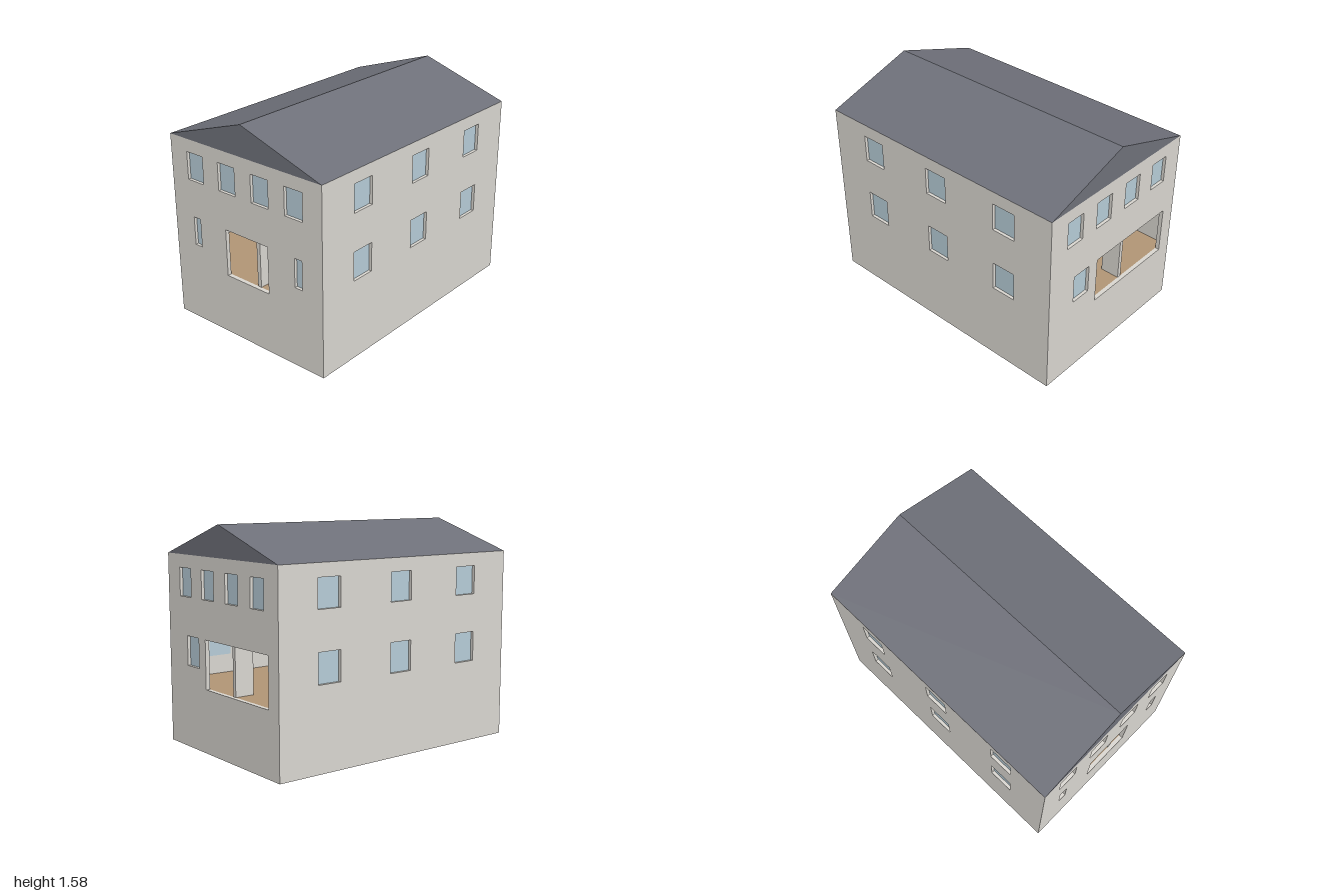
import * as THREE from 'three';

const W = 0.675, D = 1, T = 0.03;          // half width, half depth, wall thickness
const EAVES = 1.36, RIDGE = 1.58;
const FLOOR1 = 0.45, FLOOR2 = 0.93, SLAB = 0.025, DOOR = 0.315;

export function createModel() {
  const house = new THREE.Group();
  house.name = 'house';
  const mat = (name, color) => {
    const m = new THREE.MeshStandardMaterial({ color });
    m.name = name;
    return m;
  };
  const wallMat = mat('plaster', 0xd8d5cf);
  const roofMat = mat('slate', 0x6e7079);
  const glassMat = mat('glass', 0xb5cbd6);
  const floorMat = mat('wood', 0xb09474);

  const add = (name, geometry, material) => {
    const mesh = new THREE.Mesh(geometry, material);
    mesh.name = name;
    house.add(mesh);
    return mesh;
  };
  const box = (name, x0, x1, y0, y1, z0, z1, material) =>
    add(name, new THREE.BoxGeometry(x1 - x0, y1 - y0, z1 - z0), material)
      .position.set((x0 + x1) / 2, (y0 + y1) / 2, (z0 + z1) / 2);

  // Upright panel from a to b; holes are [a, b, bottom, top], door is [a, b] from the base.
  // alongZ panels run along z and take up at-T..at in x, the others at..at+T in z.
  function panel(name, alongZ, at, a, b, y0, y1, holes = [], door = null) {
    const s = new THREE.Shape();
    s.moveTo(a, y0);
    if (door) {
      s.lineTo(door[0], y0);
      s.lineTo(door[0], y0 + DOOR);
      s.lineTo(door[1], y0 + DOOR);
      s.lineTo(door[1], y0);
    }
    s.lineTo(b, y0);
    s.lineTo(b, y1);
    s.lineTo(a, y1);
    s.closePath();
    for (const [p, q, r, t] of holes) {
      const h = new THREE.Path();
      h.moveTo(p, r);
      h.lineTo(p, t);
      h.lineTo(q, t);
      h.lineTo(q, r);
      h.closePath();
      s.holes.push(h);
    }
    const mesh = add(name, new THREE.ExtrudeGeometry(s, { depth: T, bevelEnabled: false }), wallMat);
    if (alongZ) {
      mesh.rotation.y = -Math.PI / 2;
      mesh.position.x = at;
    } else mesh.position.z = at;
  }

  // Window layouts
  const low = [0.585, 0.795], high = [1.067, 1.267];
  const upperRow = [[-0.52, -0.37], [-0.225, -0.073], [0.073, 0.225], [0.365, 0.515]].map(r => [...r, ...high]);
  const frontWindows = [...upperRow, [-0.49, -0.427, ...low], [0.44, 0.503, ...low]];
  const backWindows = [...upperRow, [0.277, 0.43, ...low]];
  const sideWindows = [-0.607, 0, 0.607].flatMap(c => [low, high].map(h => [c - 0.09, c + 0.09, ...h]));

  // Outer walls
  panel('frontWall', false, D - T, -W, W, 0, EAVES, [...frontWindows, [-0.18, 0.205, FLOOR1, 0.795]]);
  panel('backWall', false, -D, -W, W, 0, EAVES, [...backWindows, [-0.562, 0.19, FLOOR1, 0.795]]);
  panel('leftWall', true, W, -D + T, D - T, 0, EAVES, sideWindows);
  panel('rightWall', true, -W + T, -D + T, D - T, 0, EAVES, sideWindows);

  // Panes set back in the window reveals
  const G = 0.008, inset = 0.026;
  for (const [side, list] of [[1, frontWindows], [-1, backWindows]])
    for (const [a, b, y0, y1] of list) {
      const z = side * (D - inset);
      box('windowPane', a, b, y0, y1, z - G / 2, z + G / 2, glassMat);
    }
  for (const side of [1, -1])
    for (const [a, b, y0, y1] of sideWindows) {
      const x = side * (W - inset);
      box('windowPane', x - G / 2, x + G / 2, y0, y1, a, b, glassMat);
    }

  // Floors
  for (const y of [FLOOR1, FLOOR2])
    box('floor', -W + T, W - T, y - SLAB, y, -D + T, D - T, floorMat);

  // Inner walls: one cross wall per storey, plus the ground floor rooms
  const inX = W - T, inZ = D - T, ceiling1 = FLOOR2 - SLAB;
  panel('basementCrossWall', false, 0, -inX, inX, 0, FLOOR1 - SLAB, [], [-0.15, 0]);
  panel('middleCrossWall', false, 0, -inX, inX, FLOOR1, ceiling1, [], [0.145, 0.295]);
  panel('upperCrossWall', false, 0, -inX, inX, FLOOR2, EAVES, [], [-0.075, 0.075]);
  panel('hallPartition', true, 0.107, T, inZ, FLOOR1, ceiling1);
  panel('backPartition', true, -0.107, -inZ, -0.53, FLOOR1, ceiling1, [], [-0.83, -0.685]);
  panel('backRoomWall', false, -0.53, -inX, -0.107, FLOOR1, ceiling1);
  box('counter', -0.41, -0.13, FLOOR1, 0.585, 0.3, 0.44, wallMat);

  // Gabled roof
  const gable = new THREE.Shape([
    new THREE.Vector2(-W, EAVES), new THREE.Vector2(W, EAVES), new THREE.Vector2(0, RIDGE)]);
  add('roof', new THREE.ExtrudeGeometry(gable, { depth: 2 * D, bevelEnabled: false }), roofMat).position.z = -D;

  return house;
}
